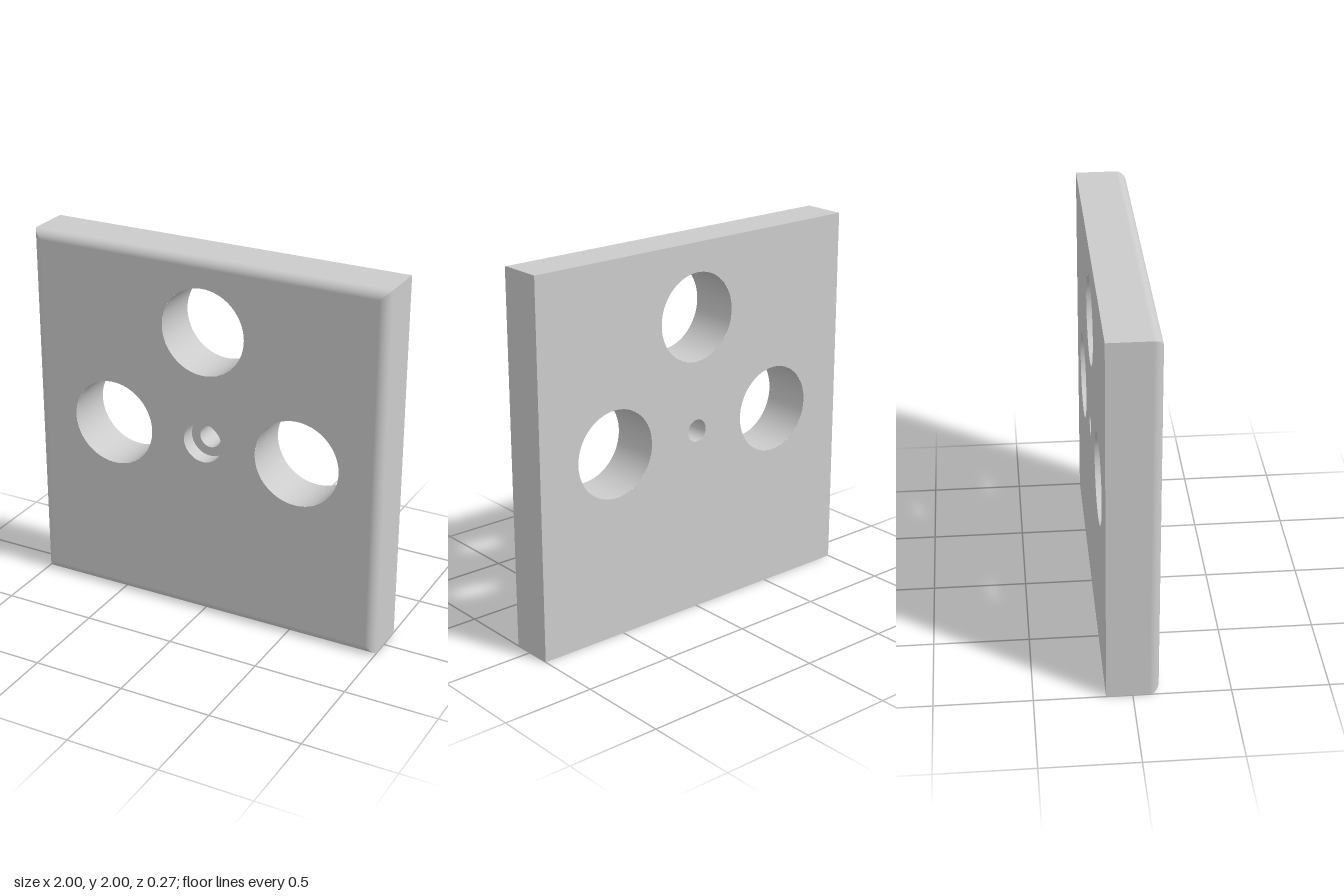
import * as THREE from 'three';

const HALF = 1, BACK = -0.135, FRONT = 0.135, ROUND = 0.05, SEG = 64;
const HOLE_R = 0.234, SCREW_R = 0.06, SINK_R = 0.11, SINK_Z = 0.05;
// large opening centres, relative to the plate centre
const OPENINGS = [[0, 0.61], [-0.535, 0], [0.535, 0]];

export function createModel() {
  const group = new THREE.Group();
  const plate = new THREE.Group();
  plate.name = 'coverPlate';
  plate.position.y = 1;
  group.add(plate);
  const material = new THREE.MeshStandardMaterial({ color: 0xcccccc });

  const add = (name, geometry, x = 0, y = 0, z = 0) => {
    const mesh = new THREE.Mesh(geometry, material);
    mesh.name = name;
    mesh.position.set(x, y, z);
    plate.add(mesh);
    return mesh;
  };

  // square face pierced by the openings and the screw hole
  const face = (half, centreR) => {
    const shape = new THREE.Shape([[-1, -1], [1, -1], [1, 1], [-1, 1]]
      .map(([x, y]) => new THREE.Vector2(x * half, y * half)));
    const pierce = (x, y, r) =>
      shape.holes.push(new THREE.Path().absarc(x, y, r, 0, Math.PI * 2, true));
    OPENINGS.forEach(([x, y]) => pierce(x, y, HOLE_R));
    pierce(0, 0, centreR);
    return new THREE.ShapeGeometry(shape, SEG);
  };
  add('frontFace', face(HALF - ROUND, SINK_R), 0, 0, FRONT);
  add('backFace', face(HALF, SCREW_R).rotateY(Math.PI), 0, 0, BACK);

  // inward-facing bore, swept from the front edge to the back edge
  const bore = (r, z0, z1) => new THREE.LatheGeometry(
    [new THREE.Vector2(r, z1), new THREE.Vector2(r, z0)], SEG).rotateX(Math.PI / 2);
  OPENINGS.forEach(([x, y]) => add('openingWall', bore(HOLE_R, BACK, FRONT), x, y));

  // counterbored screw hole
  add('screwHoleWall', bore(SCREW_R, BACK, SINK_Z));
  add('counterboreWall', bore(SINK_R, SINK_Z, FRONT));
  add('counterboreFloor', new THREE.RingGeometry(SCREW_R, SINK_R, SEG), 0, 0, SINK_Z);

  // one mitred side: flat edge flowing into a quarter round, turned four times
  const side = sideGeometry();
  for (let i = 0; i < 4; i++) add('roundedSide', side).rotation.z = i * Math.PI / 2;

  return group;
}

function sideGeometry() {
  const steps = 12, position = [], normal = [], index = [];
  const row = (r, z, ny, nz) => {
    position.push(-r, r, z, r, r, z);
    normal.push(0, ny, nz, 0, ny, nz);
  };
  row(HALF, BACK, 1, 0);
  for (let i = 0; i <= steps; i++) {
    const a = i / steps * Math.PI / 2, c = Math.cos(a), s = Math.sin(a);
    row(HALF - ROUND + ROUND * c, FRONT - ROUND + ROUND * s, c, s);
  }
  for (let i = 0; i <= steps; i++) {
    const a = i * 2;
    index.push(a, a + 2, a + 1, a + 1, a + 2, a + 3);
  }
  const geometry = new THREE.BufferGeometry();
  geometry.setAttribute('position', new THREE.Float32BufferAttribute(position, 3));
  geometry.setAttribute('normal', new THREE.Float32BufferAttribute(normal, 3));
  geometry.setIndex(index);
  return geometry;
}
